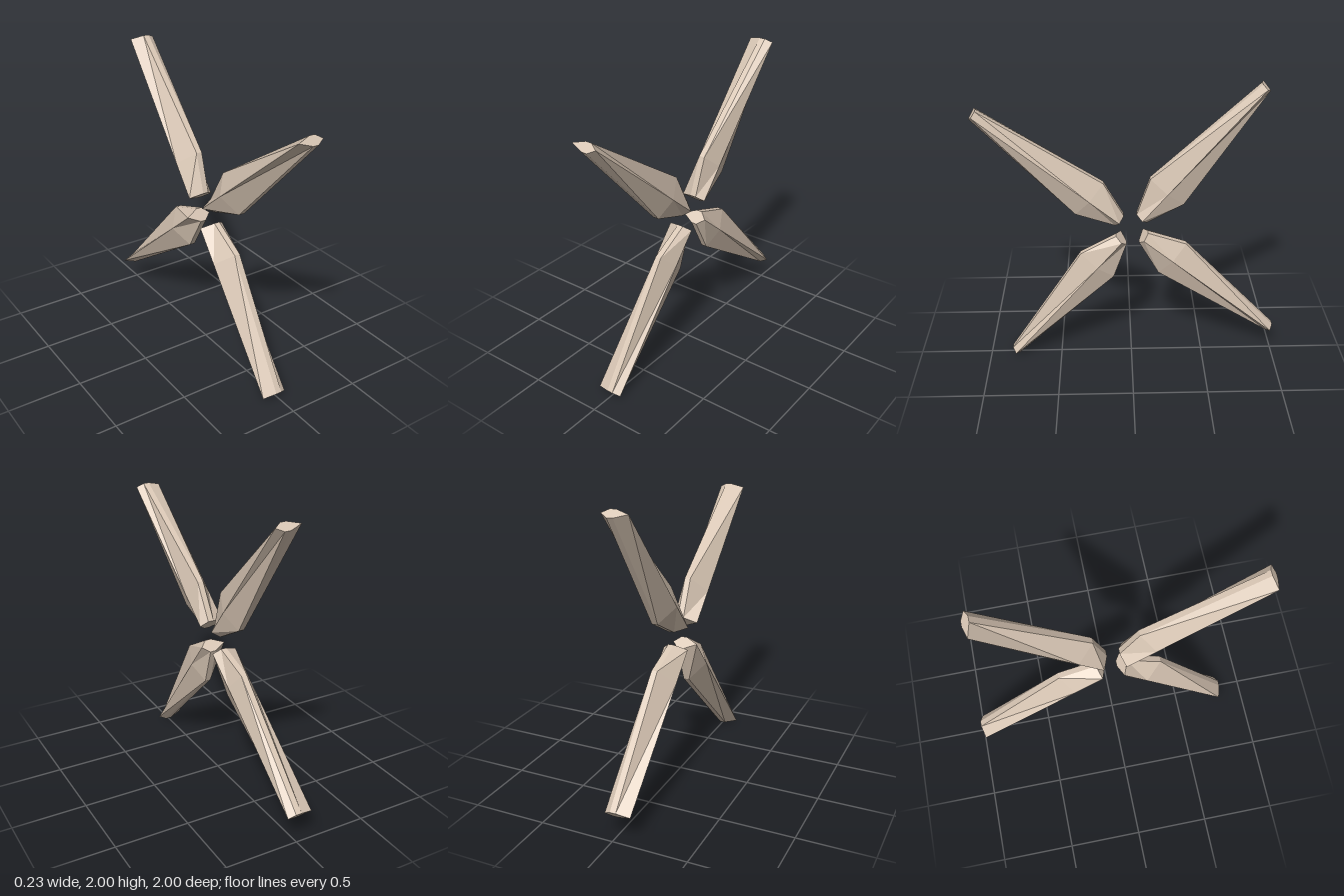
import * as THREE from 'three';

// Hexagonal blade section: [axial x, fraction of half width], counter-clockwise seen from the tip
const SECTION = [[0.087, 0], [0.04, 1], [0, 1], [-0.087, 0], [0, -1], [0.04, -1]];
// Stations along the blade: [radius, half width] at root, shoulder and tip
const STATIONS = [[0.106, 0.046], [0.36, 0.144], [1.281, 0.032]];

// Lofted blade pointing along +z, capped at both ends
function bladeGeometry() {
  const n = SECTION.length;
  const last = (STATIONS.length - 1) * n;
  const positions = [];
  const index = [];
  for (const [radius, half] of STATIONS) {
    for (const [x, f] of SECTION) positions.push(x, f * half, radius);
  }
  for (let s = 0; s < last; s += n) {
    for (let i = 0; i < n; i++) {
      const a = s + i;
      const b = s + (i + 1) % n;
      index.push(a, b, b + n, a, b + n, a + n);
    }
  }
  for (let i = 1; i < n - 1; i++) {
    index.push(0, i + 1, i);
    index.push(last, last + i, last + i + 1);
  }
  const indexed = new THREE.BufferGeometry();
  indexed.setAttribute('position', new THREE.Float32BufferAttribute(positions, 3));
  indexed.setIndex(index);
  const geometry = indexed.toNonIndexed();
  geometry.computeVertexNormals();
  return geometry;
}

export function createModel() {
  const model = new THREE.Group();
  model.name = 'fan';

  // Four equal blades around the x axis, the whole rotor tilted slightly
  const rotor = new THREE.Group();
  rotor.name = 'rotor';
  rotor.position.y = 1;
  rotor.rotation.set(0, 0.008, -0.027);
  model.add(rotor);

  const material = new THREE.MeshStandardMaterial({ color: 0xd8c6b4, flatShading: true });
  const geometry = bladeGeometry();
  for (let i = 0; i < 4; i++) {
    const blade = new THREE.Mesh(geometry, material);
    blade.name = `blade${i + 1}`;
    blade.rotation.x = -THREE.MathUtils.degToRad(40 + i * 90);
    rotor.add(blade);
  }
  return model;
}
